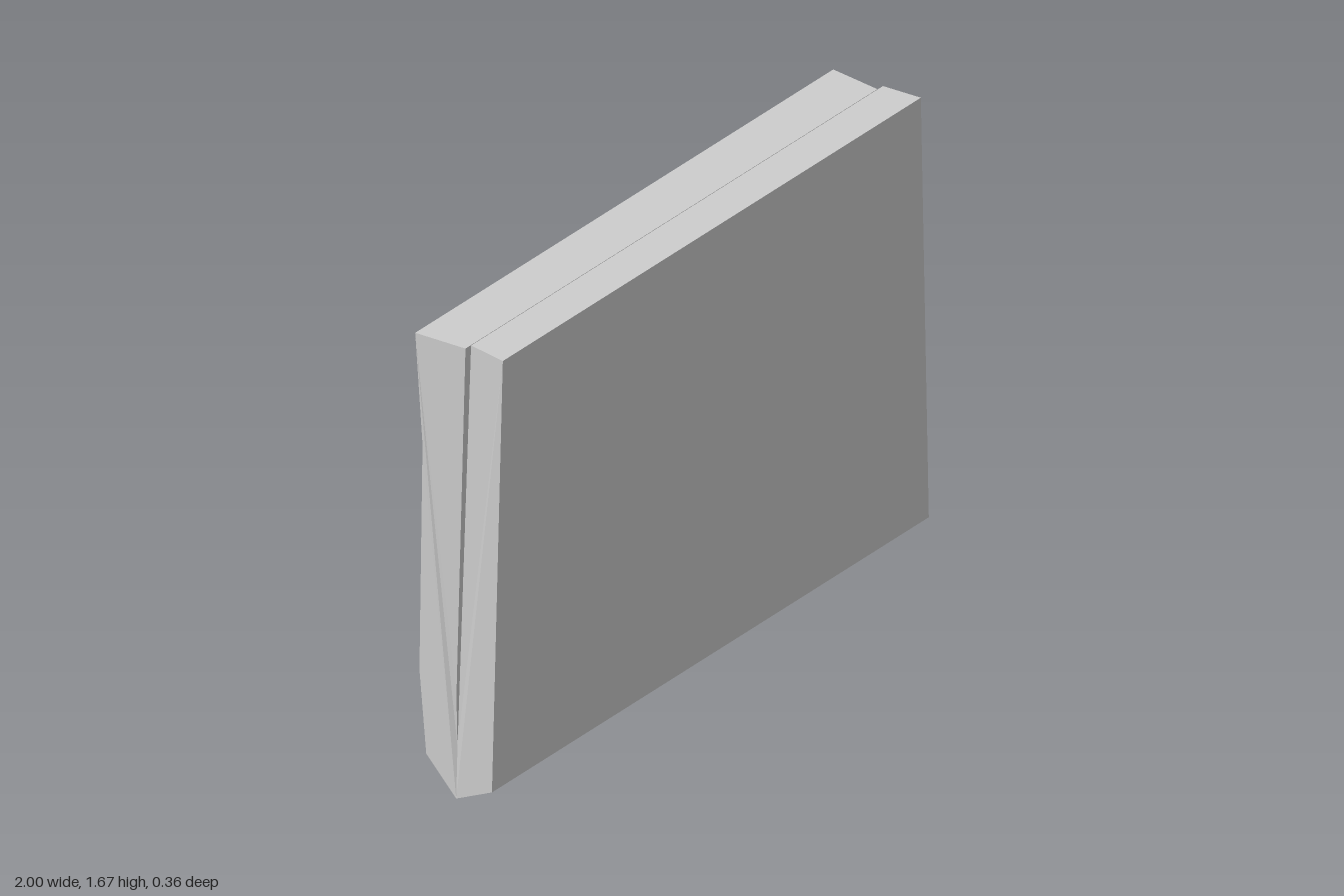
import * as THREE from 'three';

// Cross-section corners: [z, y, half width in x]
const section = [
  [0.03, 0, 1],
  [0.177, 0.09, 1],
  [0.183, 1.67, 0.957],
  [0.04, 1.655, 0.943], // slot, front wall
  [0.022, 0.18, 0.985], // slot bottom
  [0.013, 0.36, 0.98], // slot, back wall
  [0.017, 1.633, 0.943],
  [-0.177, 1.61, 0.957],
  [-0.137, 1.22, 0.968],
  [-0.13, 0.4, 0.99],
  [-0.093, 0.11, 1],
];

export function createModel() {
  const group = new THREE.Group();
  group.name = 'slottedPanel';

  const shape = new THREE.Shape(section.map(([z, y]) => new THREE.Vector2(z, y)));
  const geometry = new THREE.ExtrudeGeometry(shape, { depth: 2, bevelEnabled: false });

  // Turn the section sideways and taper the ends towards the top and the slot
  const pos = geometry.attributes.position;
  for (let i = 0; i < pos.count; i++) {
    const z = pos.getX(i), y = pos.getY(i);
    const corner = section.find((p) => Math.hypot(p[0] - z, p[1] - y) < 1e-4);
    const side = pos.getZ(i) > 1 ? -1 : 1;
    pos.setXYZ(i, side * corner[2], y, z);
  }
  geometry.computeVertexNormals();

  const body = new THREE.Mesh(
    geometry,
    new THREE.MeshStandardMaterial({ color: 0xcccccc, flatShading: true })
  );
  body.name = 'foldedPanelBody';
  group.add(body);
  return group;
}
